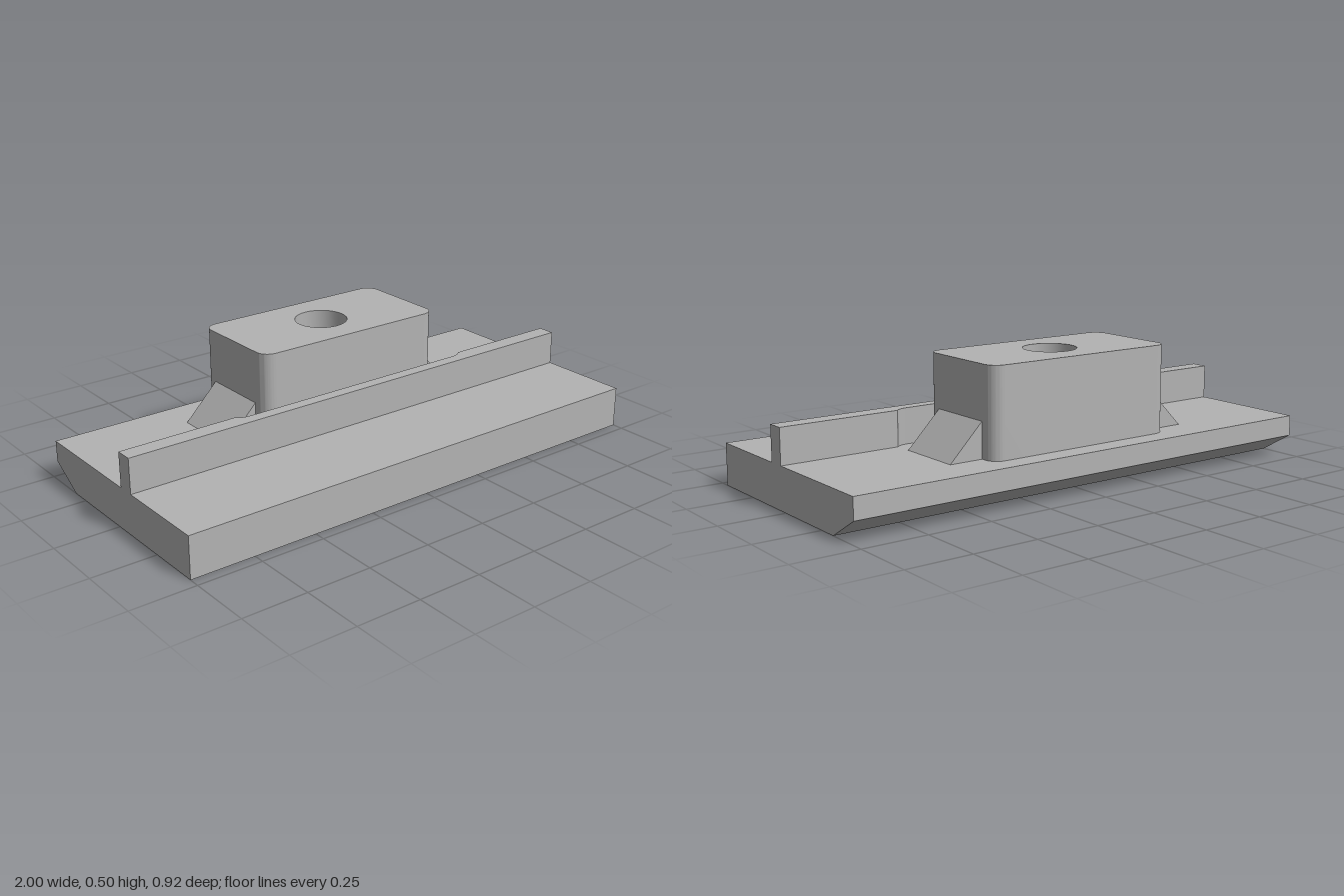
import * as THREE from 'three';
import { toCreasedNormals } from 'three/addons/utils/BufferGeometryUtils.js';

const BASE_TOP = 0.16, RAIL_TOP = 0.294, BLOCK_TOP = 0.495;

const polygon = (points) => new THREE.Shape(points.map(([x, y]) => new THREE.Vector2(x, y)));

function extrude(shape, depth) {
  const geometry = new THREE.ExtrudeGeometry(shape, { depth, bevelEnabled: false, curveSegments: 16 });
  return toCreasedNormals(geometry, 0.5);
}

// Extrudes a plan outline (x, -z) upwards between two heights
function extrudeUp(shape, bottom, top) {
  return extrude(shape, top - bottom).rotateX(-Math.PI / 2).translate(0, bottom, 0);
}

export function createModel() {
  const group = new THREE.Group();
  const grey = new THREE.MeshStandardMaterial({ color: 0xb3b3b3 });
  grey.name = 'grey';

  const add = (name, geometry) => {
    const mesh = new THREE.Mesh(geometry, grey);
    mesh.name = name;
    group.add(mesh);
  };

  // Base plate: side profile (-z, y) with a chamfered lower back edge
  const profile = polygon([
    [-0.458, 0], [0.324, 0], [0.458, 0.08], [0.458, BASE_TOP], [-0.458, BASE_TOP],
  ]);
  add('basePlate', extrude(profile, 2).rotateY(Math.PI / 2).translate(-1, 0, 0));

  // Rail: full-width strip with a shallow round-ended relief behind the block
  const rail = new THREE.Shape();
  rail.moveTo(-1, -0.093);
  rail.lineTo(1, -0.093);
  rail.lineTo(1, -0.026);
  rail.lineTo(0.533, -0.026);
  rail.quadraticCurveTo(0.515, -0.046, 0.48, -0.046);
  rail.lineTo(-0.48, -0.046);
  rail.quadraticCurveTo(-0.515, -0.046, -0.533, -0.026);
  rail.lineTo(-1, -0.026);
  rail.closePath();
  add('rail', extrudeUp(rail, BASE_TOP, RAIL_TOP));

  // Block: rounded rectangle with a round hole
  const w = 0.4, front = -0.026, back = 0.374, r = 0.05;
  const block = new THREE.Shape();
  block.moveTo(-w + r, front);
  block.absarc(w - r, front + r, r, -Math.PI / 2, 0);
  block.absarc(w - r, back - r, r, 0, Math.PI / 2);
  block.absarc(-w + r, back - r, r, Math.PI / 2, Math.PI);
  block.absarc(-w + r, front + r, r, Math.PI, Math.PI * 1.5);
  const hole = new THREE.Path();
  hole.absarc(0, (front + back) / 2, 0.1, 0, Math.PI * 2, true);
  block.holes.push(hole);
  add('block', extrudeUp(block, BASE_TOP, BLOCK_TOP));

  // Sloped wedges against both ends of the block
  for (const [name, s] of [['leftWedge', 1], ['rightWedge', -1]]) {
    const wedge = polygon([[s * 0.4, BASE_TOP], [s * 0.533, BASE_TOP], [s * 0.4, RAIL_TOP]]);
    add(name, extrude(wedge, 0.266).translate(0, 0, -0.307));
  }

  return group;
}
